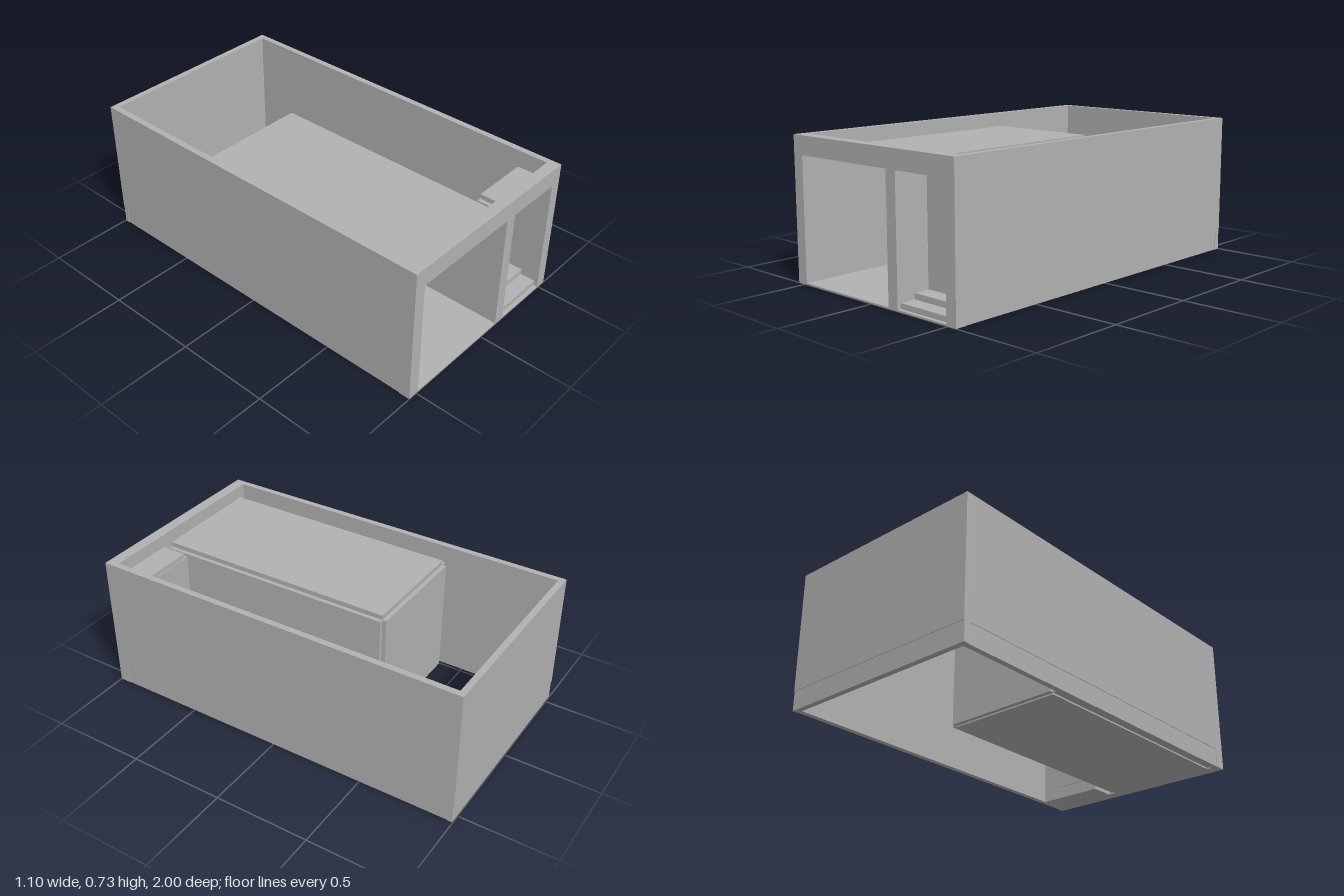
import * as THREE from 'three';

export function createModel() {
  const model = new THREE.Group();
  const plaster = new THREE.MeshStandardMaterial({ color: 0xb2b2b2 });
  plaster.name = 'grey plaster';

  // Box given by its lower and upper limits on each axis
  const box = (name, [x0, x1], [y0, y1], [z0, z1]) => {
    const mesh = new THREE.Mesh(new THREE.BoxGeometry(x1 - x0, y1 - y0, z1 - z0), plaster);
    mesh.position.set((x0 + x1) / 2, (y0 + y1) / 2, (z0 + z1) / 2);
    mesh.name = name;
    model.add(mesh);
  };

  const W = 0.55, H = 0.725, T = 0.032, FRONT = 0.94, BACK = -0.968;
  const SKIRT = 0.1, INSET = 0.003;
  const FLOOR = 0.008, HEAD = 0.63, ROOF = 0.655;
  const garage = [-0.488, 0.118], entry = [0.18, 0.49];

  // Front wall with the garage and entry openings
  const rect = (Kind, [x0, x1], [y0, y1]) => {
    const s = new Kind();
    s.moveTo(x0, y0);
    s.lineTo(x1, y0);
    s.lineTo(x1, y1);
    s.lineTo(x0, y1);
    s.closePath();
    return s;
  };
  const facade = rect(THREE.Shape, [-W, W], [0, H]);
  for (const opening of [garage, entry]) facade.holes.push(rect(THREE.Path, opening, [FLOOR, HEAD]));
  const frontWall = new THREE.Mesh(
    new THREE.ExtrudeGeometry(facade, { depth: 1 - FRONT, bevelEnabled: false }), plaster);
  frontWall.position.z = FRONT;
  frontWall.name = 'frontWall';
  model.add(frontWall);

  // Side and back walls above a slightly set-back footing
  for (const [name, s] of [['left', 1], ['right', -1]]) {
    const span = (outer) => [s * outer, s * (W - T)].sort((a, b) => a - b);
    box(name + 'Wall', span(W), [SKIRT, H], [BACK, FRONT]);
    box(name + 'Footing', span(W - INSET), [0, SKIRT], [BACK, FRONT]);
  }
  box('backWall', [-W, W], [SKIRT, H], [-1, BACK]);
  box('backFooting', [-W, W], [0, SKIRT], [-1 + INSET, BACK]);

  // Garage bay: separate plates around the cavity, open at the corners
  const bay = [-0.355, FRONT];
  box('garageFloor', garage, [0, FLOOR], bay);
  box('garageRoof', garage, [HEAD, ROOF], bay);
  box('garageBackWall', garage, [FLOOR, HEAD], [-0.377, -0.355]);
  box('garageInnerWall', [garage[1], 0.139], [FLOOR, HEAD], bay);
  box('garageOuterWall', [-0.517, garage[0]], [FLOOR, HEAD], bay);

  // Entry porch
  const porch = [0.805, FRONT];
  box('porchRoof', entry, [HEAD, ROOF], porch);
  box('porchInnerWall', [0.158, entry[0]], [0, HEAD], porch);
  box('porchOuterWall', [entry[1], 0.517], [0, HEAD], porch);
  box('door', [entry[0], 0.395], [0.065, HEAD], [0.8, 0.817]);
  box('sidePanel', [0.395, entry[1]], [0.065, HEAD], [0.805, 0.82]);

  // Porch floor and two steps
  box('porchFloor', entry, [0, FLOOR], porch);
  box('lowerStep', entry, [FLOOR, 0.035], [0.9, 0.98]);
  box('upperStep', entry, [FLOOR, 0.065], [0.805, 0.9]);

  return model;
}
